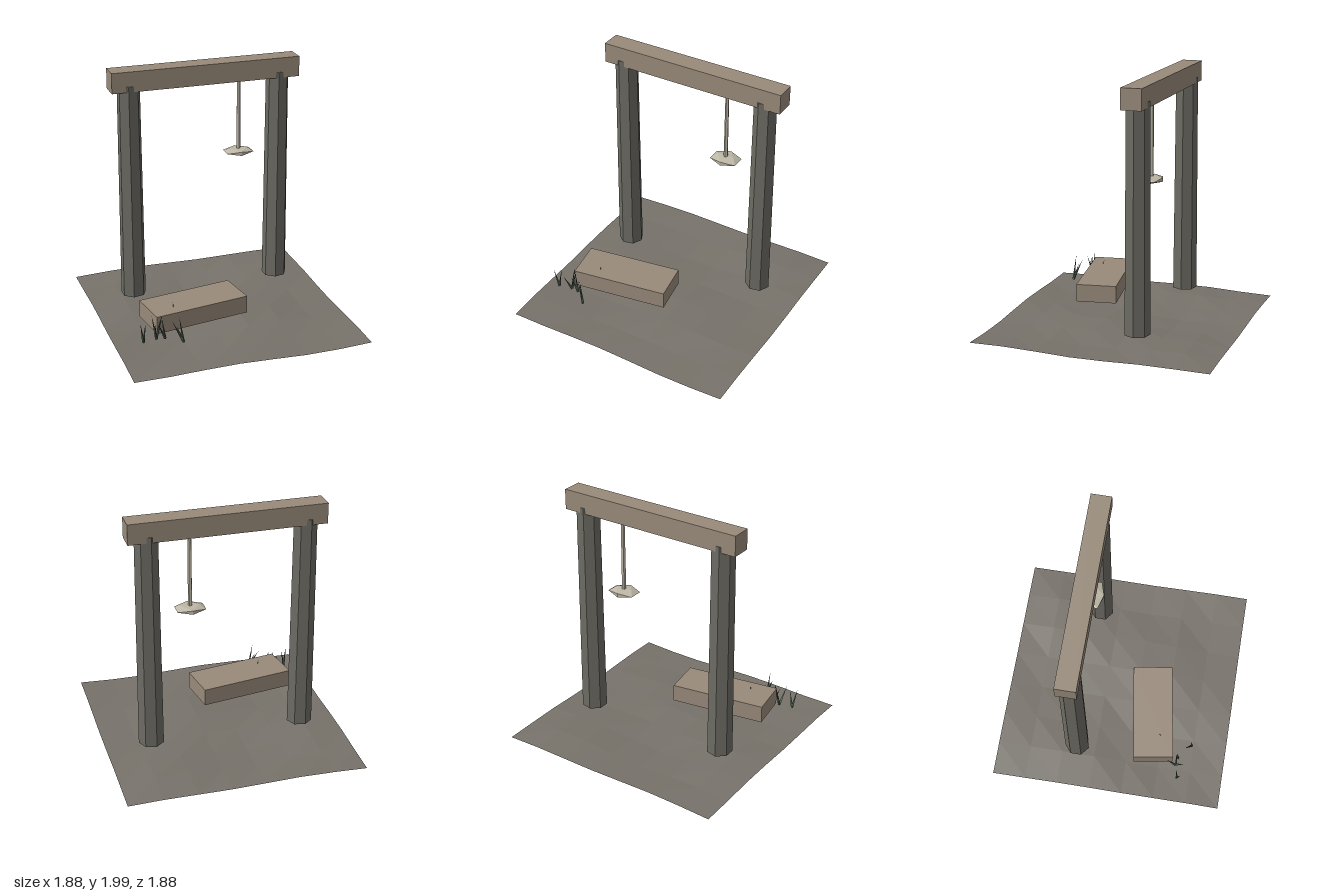
import * as THREE from 'three';

const material = (name, color, side = THREE.FrontSide) => {
  const m = new THREE.MeshStandardMaterial({ color, side, flatShading: true });
  m.name = name;
  return m;
};

export function createModel() {
  const model = new THREE.Group();
  model.name = 'ruinedGate';
  const earth = material('earth', 0x77726a, THREE.DoubleSide);
  const stone = material('stone', 0x6c6b63);
  const wood = material('wood', 0x988a7a);
  const pale = material('pale', 0xbdb7a6);
  const grass = material('grass', 0x46564a, THREE.DoubleSide);

  const add = (name, geometry, mat, x, y, z, parent = model) => {
    const mesh = new THREE.Mesh(geometry, mat);
    mesh.name = name;
    mesh.position.set(x, y, z);
    parent.add(mesh);
    return mesh;
  };

  // Uneven ground sheet
  const ground = new THREE.PlaneGeometry(1.875, 1.875, 7, 7).rotateX(-Math.PI / 2);
  const p = ground.attributes.position;
  for (let i = 0; i < p.count; i++) {
    const x = p.getX(i), z = p.getZ(i);
    const rim = Math.max(Math.abs(x), Math.abs(z)) > 0.9 ? 0.5 : 1;
    p.setY(i, 0.03 + rim * (0.014 * Math.sin(x * 5.2 + z * 2.3) + 0.011 * Math.cos(z * 6 - x * 3 - 0.8)));
  }
  add('ground', ground, earth, 0, 0, 0);

  // Seven-sided tapered posts
  for (const x of [-0.607, 0.603]) {
    add('post', new THREE.CylinderGeometry(0.09, 0.1, 1.75, 7, 1, false, Math.PI / 2), stone, x, 1.01, -0.281);
  }

  // Lintel and fallen block
  add('lintel', new THREE.BoxGeometry(1.51, 0.16, 0.158), wood, 0, 1.92, -0.282);
  const block = add('fallenBlock', new THREE.BoxGeometry(0.77, 0.14, 0.32), wood, -0.285, 0.23, 0.297);
  block.rotation.y = 0.157;

  // Hanging rod and flattened weight
  add('hangingRod', new THREE.CylinderGeometry(0.015, 0.017, 0.58, 5), pale, 0.28, 1.54, -0.281);
  const weight = add('hangingWeight', new THREE.IcosahedronGeometry(0.129, 0), pale, 0.28, 1.246, -0.281);
  weight.scale.set(1, 0.23, 0.8);

  // Grass clumps: base x, z, then blade tips as x, y, z
  const clumps = [
    [-0.762, 0.568, [[-0.79, 0.31, 0.592], [-0.74, 0.29, 0.557]]],
    [-0.655, 0.545, [[-0.67, 0.3, 0.47], [-0.61, 0.32, 0.54], [-0.682, 0.29, 0.61]]],
    [-0.59, 0.555, [[-0.612, 0.31, 0.545], [-0.645, 0.27, 0.56]]],
    [-0.475, 0.655, [[-0.55, 0.3, 0.6], [-0.505, 0.345, 0.64], [-0.52, 0.26, 0.625]]],
    [-0.465, 0.45, [[-0.475, 0.34, 0.375], [-0.5, 0.27, 0.42]]],
  ];
  const up = new THREE.Vector3(0, 1, 0);
  for (const [x, z, tips] of clumps) {
    const clump = new THREE.Group();
    clump.name = 'grassClump';
    model.add(clump);
    for (const tip of tips) {
      const base = new THREE.Vector3(x, 0.135, z);
      const dir = new THREE.Vector3(...tip).sub(base);
      const length = dir.length();
      const blade = new THREE.ConeGeometry(0.012, length, 3).translate(0, length / 2, 0);
      add('blade', blade, grass, x, 0.135, z, clump).quaternion.setFromUnitVectors(up, dir.normalize());
    }
  }
  return model;
}
